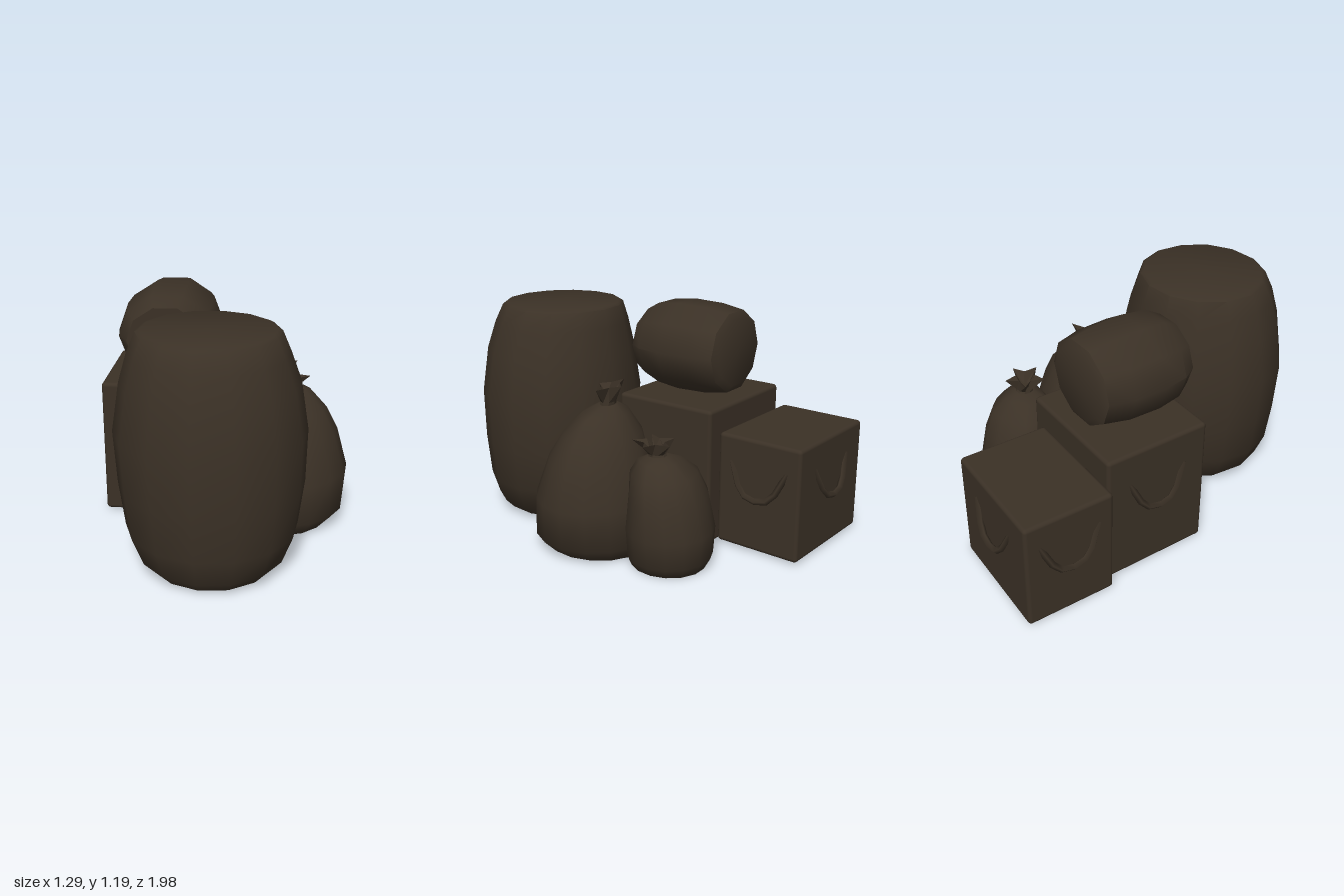
import * as THREE from 'three';
import { toCreasedNormals } from 'three/addons/utils/BufferGeometryUtils.js';
import { RoundedBoxGeometry } from 'three/addons/geometries/RoundedBoxGeometry.js';

const canvas = new THREE.MeshStandardMaterial({ color: 0x3b3126, side: THREE.DoubleSide });
canvas.name = 'darkCanvas';

// Closed skin over rings [y, centreX, centreZ, radiusX, radiusZ, ripple]
function loft(rings, sides, folds = 4, crease = 0.75) {
  const pos = [], idx = [];
  for (const [y, cx, cz, rx, rz, ripple = 0] of rings) {
    for (let i = 0; i < sides; i++) {
      const a = (i / sides) * Math.PI * 2;
      const k = 1 + ripple * Math.cos(a * folds);
      pos.push(cx + Math.cos(a) * rx * k, y, cz + Math.sin(a) * rz * k);
    }
  }
  for (let r = 0; r < rings.length - 1; r++) {
    for (let i = 0; i < sides; i++) {
      const j = (i + 1) % sides, a = r * sides, b = a + sides;
      idx.push(a + i, b + i, a + j, a + j, b + i, b + j);
    }
  }
  const last = rings.length - 1;
  for (const r of [0, last]) {
    const c = pos.length / 3, [y, cx, cz] = rings[r];
    pos.push(cx, y, cz);
    for (let i = 0; i < sides; i++) {
      const p = r * sides + i, q = r * sides + (i + 1) % sides;
      if (r === 0) idx.push(c, p, q); else idx.push(c, q, p);
    }
  }
  const g = new THREE.BufferGeometry();
  g.setAttribute('position', new THREE.Float32BufferAttribute(pos, 3));
  g.setIndex(idx);
  return toCreasedNormals(g, crease);
}

function add(parent, name, geometry) {
  const mesh = new THREE.Mesh(geometry, canvas);
  mesh.name = name;
  parent.add(mesh);
  return mesh;
}

// Hanging strap handle, facing +z before it is turned
function strap() {
  const pts = [[-0.16, 0.09, -0.01], [-0.08, -0.06, 0.02], [0, -0.085, 0.025], [0.08, -0.06, 0.02], [0.16, 0.09, -0.01]];
  const curve = new THREE.CatmullRomCurve3(pts.map(p => new THREE.Vector3(...p)));
  return new THREE.TubeGeometry(curve, 8, 0.017, 4);
}

// Crate-shaped bag with a strap on each listed side (0 front, 1 left, 2 back, 3 right)
function boxBag(name, w, h, d, x, z, turn, sides) {
  const bag = new THREE.Group();
  bag.name = name;
  bag.position.set(x, 0.015, z);
  bag.rotation.y = turn;
  add(bag, 'bagBody', new RoundedBoxGeometry(w, h, d, 2, 0.02)).position.y = h / 2;
  for (const s of sides) {
    const a = s * Math.PI / 2, off = (s % 2 ? w : d) / 2;
    const handle = add(bag, 'strapHandle', strap());
    handle.position.set(Math.sin(a) * off, h * 0.62, Math.cos(a) * off);
    handle.rotation.y = a;
  }
  return bag;
}

export function createModel() {
  const group = new THREE.Group();

  // Large upright bundle
  add(group, 'largeBundle', loft([
    [0.02, -0.07, 0.59, 0.31, 0.32],
    [0.07, -0.07, 0.59, 0.36, 0.36],
    [0.2, -0.07, 0.58, 0.415, 0.4],
    [0.42, -0.07, 0.575, 0.445, 0.42],
    [0.68, -0.075, 0.575, 0.457, 0.425],
    [0.92, -0.075, 0.575, 0.42, 0.39],
    [1.06, -0.08, 0.57, 0.375, 0.355],
    [1.155, -0.08, 0.56, 0.335, 0.32],
    [1.165, -0.08, 0.56, 0.315, 0.305]], 14));

  // Two square bags
  group.add(boxBag('backBag', 0.63, 0.59, 0.47, -0.275, -0.715, -0.135, [1, 2, 3]));
  group.add(boxBag('middleBag', 0.655, 0.715, 0.575, -0.27, -0.185, -0.12, [0, 3]));

  // Rolled bundle lying on the middle bag, its axis running front to back
  const roll = add(group, 'rolledBundle', loft([
    [-0.27, 0, 0, 0.19, 0.18],
    [-0.25, 0, 0, 0.23, 0.215],
    [-0.12, 0, 0, 0.265, 0.235],
    [0.05, 0, 0, 0.27, 0.24],
    [0.18, 0, 0, 0.25, 0.225],
    [0.26, 0, 0, 0.2, 0.18]], 10));
  roll.rotation.set(Math.PI / 2, 0, 0.1);
  roll.rotation.order = 'YXZ';
  roll.rotation.set(Math.PI / 2, -0.1, 0);
  roll.position.set(-0.265, 0.965, -0.15);

  // Tall tied sack
  add(group, 'tallSack', loft([
    [0.005, 0.3, 0.1, 0.25, 0.27],
    [0.08, 0.3, 0.1, 0.33, 0.32],
    [0.28, 0.31, 0.1, 0.33, 0.31, 0.02],
    [0.48, 0.3, 0.09, 0.285, 0.25, 0.03],
    [0.6, 0.28, 0.08, 0.245, 0.19, 0.03],
    [0.7, 0.27, 0.07, 0.16, 0.11, 0.08],
    [0.745, 0.26, 0.06, 0.06, 0.045, 0.1]], 16, 4, 1.2));
  add(group, 'tallSackKnot', loft([
    [0.72, 0.26, 0.06, 0.06, 0.04],
    [0.76, 0.26, 0.055, 0.05, 0.035],
    [0.84, 0.25, 0.05, 0.1, 0.05, 0.3],
    [0.79, 0.25, 0.05, 0.03, 0.02]], 8, 4, 0.3));

  // Short tied sack
  add(group, 'shortSack', loft([
    [0.005, 0.34, -0.34, 0.18, 0.19],
    [0.06, 0.34, -0.35, 0.22, 0.21],
    [0.2, 0.34, -0.35, 0.235, 0.22, 0.02],
    [0.36, 0.34, -0.34, 0.225, 0.19, 0.03],
    [0.48, 0.35, -0.32, 0.18, 0.16, 0.05],
    [0.545, 0.36, -0.3, 0.11, 0.1, 0.08],
    [0.57, 0.37, -0.3, 0.05, 0.05]], 15, 5, 1.2));
  add(group, 'shortSackKnot', loft([
    [0.55, 0.37, -0.3, 0.05, 0.05],
    [0.58, 0.37, -0.29, 0.045, 0.045],
    [0.64, 0.38, -0.28, 0.08, 0.08, 0.35],
    [0.59, 0.37, -0.28, 0.025, 0.025]], 10, 5, 0.3));

  return group;
}
